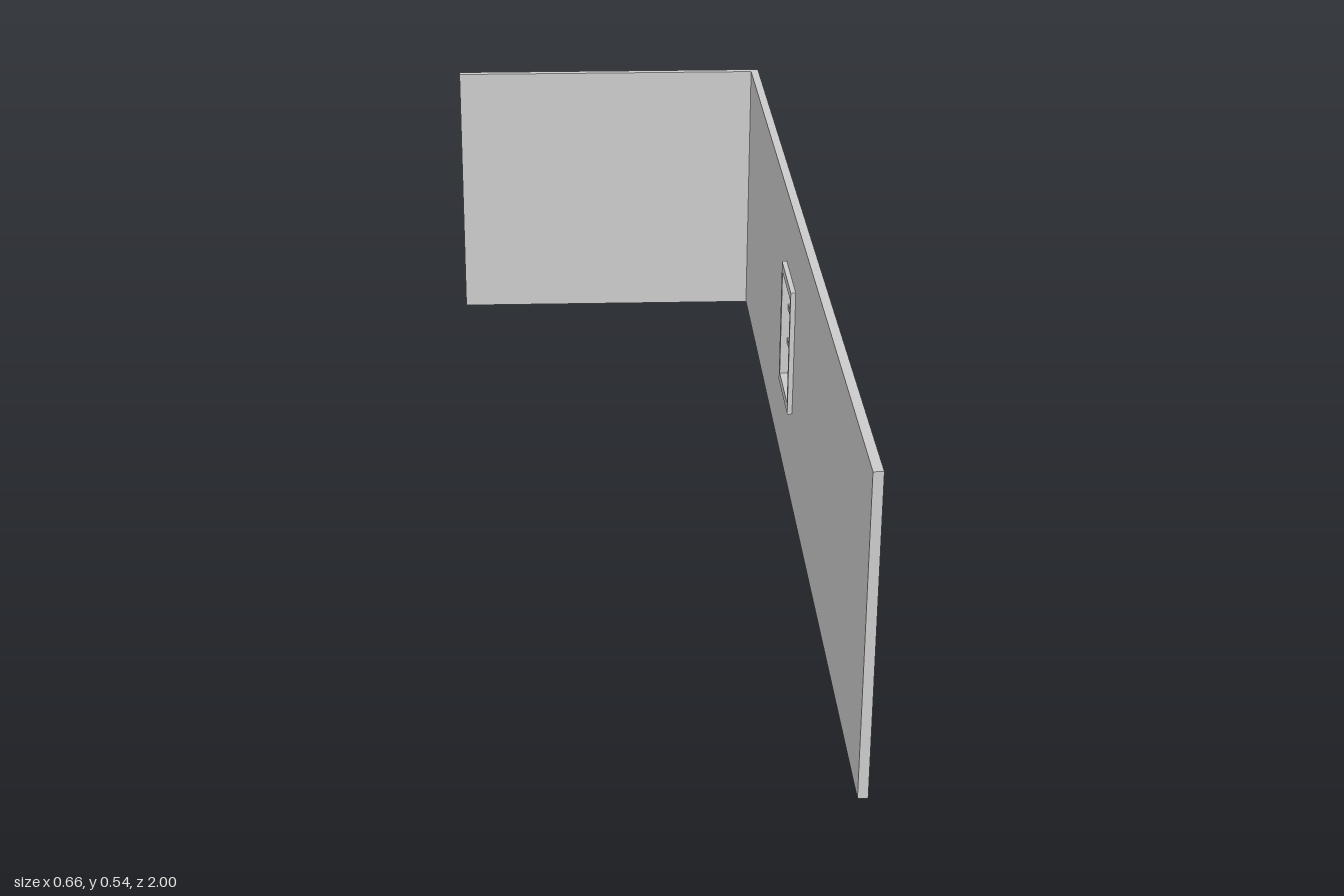
import * as THREE from 'three';

const material = new THREE.MeshStandardMaterial({ color: 0xcccccc });

function rect(path, u0, v0, u1, v1) {
  path.moveTo(u0, v0);
  path.lineTo(u1, v0);
  path.lineTo(u1, v1);
  path.lineTo(u0, v1);
  path.closePath();
  return path;
}

// Upright panel with a rectangular hole; u runs toward -z, thickness from x0 to x1
function panel(name, outer, hole, x0, x1) {
  const shape = rect(new THREE.Shape(), ...outer);
  shape.holes.push(rect(new THREE.Path(), ...hole));
  const geo = new THREE.ExtrudeGeometry(shape, { depth: x1 - x0, bevelEnabled: false });
  geo.rotateY(Math.PI / 2).translate(x0, 0, 0);
  const mesh = new THREE.Mesh(geo, material);
  mesh.name = name;
  return mesh;
}

function box(name, x0, x1, y0, y1, z0, z1) {
  const mesh = new THREE.Mesh(new THREE.BoxGeometry(x1 - x0, y1 - y0, z1 - z0), material);
  mesh.position.set((x0 + x1) / 2, (y0 + y1) / 2, (z0 + z1) / 2);
  mesh.name = name;
  return mesh;
}

export function createModel() {
  const model = new THREE.Group();
  model.name = 'cornerWalls';
  const height = 0.541, inner = 0.307, outer = 0.323;

  // Window opening as u0, v0, u1, v1 with u = -z
  const opening = [0.015, 0.187, 0.151, 0.393];
  const [u0, v0, u1, v1] = opening;

  // Long side wall and short back wall meeting at the corner
  model.add(panel('sideWall', [-1, 0, 1, height], [u0 - 0.003, v0 - 0.003, u1 + 0.003, v1 + 0.003], inner, outer));
  model.add(box('backWall', -0.329, inner, 0, height, -1, -0.984));

  // Window: frame standing proud of both wall faces, with a two by three grid of bars
  const win = new THREE.Group();
  win.name = 'window';
  win.add(panel('windowFrame', [0.003, 0.168, 0.166, 0.41], opening, 0.298, 0.329));
  const mid = (inner + outer) / 2, half = 0.005;
  const zMid = -(u0 + u1) / 2;
  win.add(box('verticalBar', mid - half, mid + half, v0, v1, zMid - half, zMid + half));
  for (const i of [1, 2]) {
    const y = v0 + (v1 - v0) * i / 3;
    win.add(box('horizontalBar' + i, mid - half, mid + half, y - half, y + half, -u1, -u0));
  }
  model.add(win);
  return model;
}
